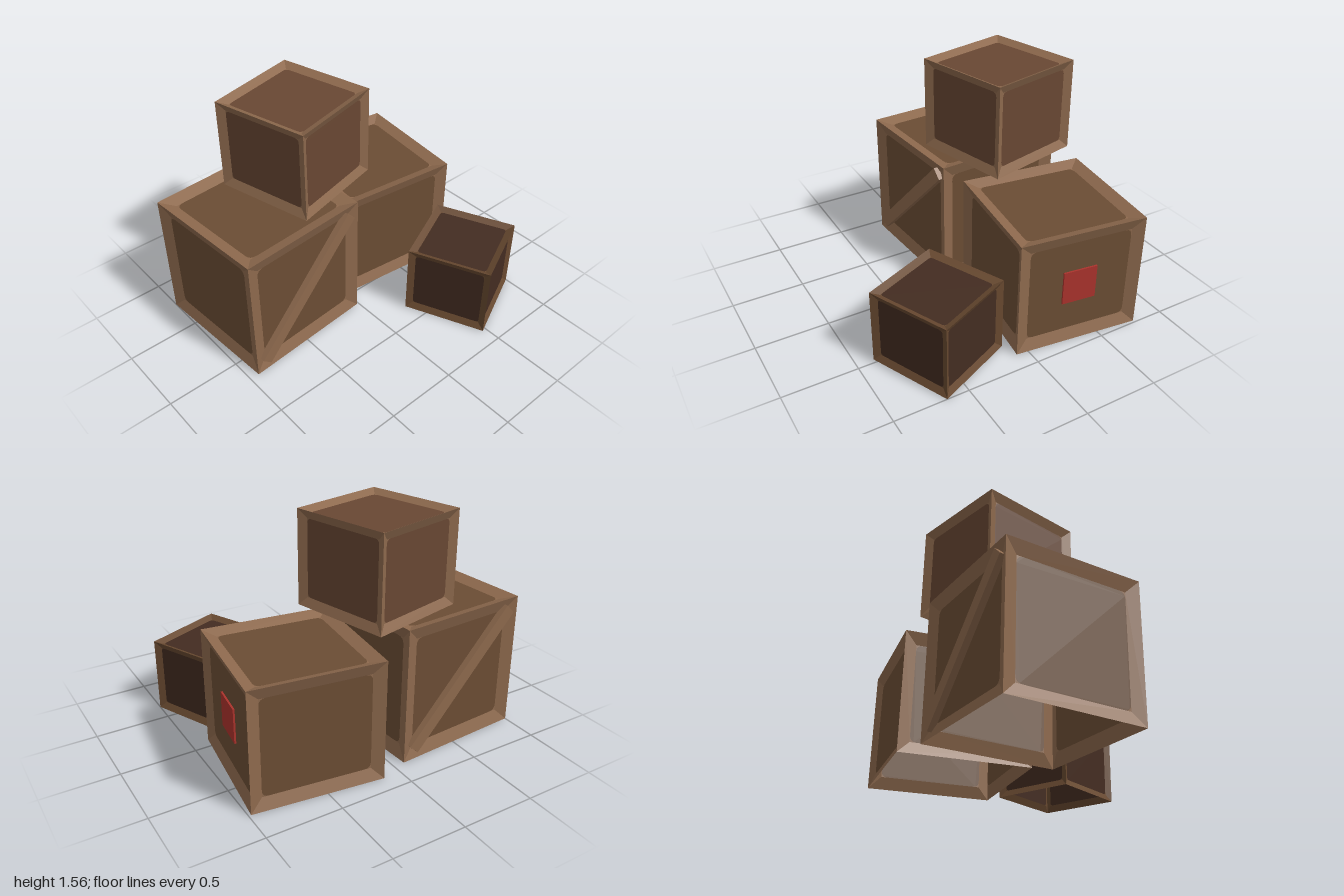
import * as THREE from 'three';
import { mergeGeometries } from 'three/addons/utils/BufferGeometryUtils.js';

// Crates are open underneath, so the wood shows on both sides
function material(name, color) {
  const m = new THREE.MeshStandardMaterial({ color, side: THREE.DoubleSide });
  m.name = name;
  return m;
}

// Rectangle outline with rounded corners, centred on the origin
function roundedRect(Type, w, h, r) {
  const s = new Type(), x = w / 2, y = h / 2;
  s.moveTo(-x + r, -y);
  s.lineTo(x - r, -y).quadraticCurveTo(x, -y, x, -y + r);
  s.lineTo(x, y - r).quadraticCurveTo(x, y, x - r, y);
  s.lineTo(-x + r, y).quadraticCurveTo(-x, y, -x, y - r);
  s.lineTo(-x, -y + r).quadraticCurveTo(-x, -y, -x + r, -y);
  return s;
}

// Four mitred slopes running from the outer edge in to the recessed panel
function bevelRing(w, h, margin, depth) {
  const signs = [[-1, -1], [1, -1], [1, 1], [-1, 1]];
  const outer = signs.map(([a, b]) => [a * w / 2, b * h / 2, 0]);
  const inner = signs.map(([a, b]) => [a * (w / 2 - margin), b * (h / 2 - margin), -depth]);
  const pos = [];
  for (let i = 0; i < 4; i++) {
    const j = (i + 1) % 4;
    pos.push(...outer[i], ...outer[j], ...inner[j], ...outer[i], ...inner[j], ...inner[i]);
  }
  const g = new THREE.BufferGeometry();
  g.setAttribute('position', new THREE.Float32BufferAttribute(pos, 3));
  g.computeVertexNormals();
  return g;
}

// Flat shape laid at the recess depth
function flat(shape, depth) {
  const g = new THREE.ShapeGeometry(shape, 4).toNonIndexed();
  g.deleteAttribute('uv');
  return g.translate(0, 0, -depth);
}

// Crate with four sides and a lid, each framed and recessed, and no bottom
function crate(name, { w, h, margin, depth, frame, panel }) {
  const group = new THREE.Group();
  group.name = name;
  const frames = [], panels = [];
  const faces = [0, 1, 2, 3].map((i) => [0, i * Math.PI / 2, h]);
  faces.push([-Math.PI / 2, 0, w]);
  for (const [rx, ry, fh] of faces) {
    const pw = w - 2 * margin, ph = fh - 2 * margin, r = margin * 0.55;
    const corners = roundedRect(THREE.Shape, pw, ph, 0);
    corners.holes.push(roundedRect(THREE.Path, pw, ph, r));
    const place = (g) => g.translate(0, 0, (rx ? h : w) / 2).rotateX(rx).rotateY(ry).translate(0, h / 2, 0);
    frames.push(place(bevelRing(w, fh, margin, depth)), place(flat(corners, depth)));
    panels.push(place(flat(roundedRect(THREE.Shape, pw, ph, r), depth)));
  }
  const frameMesh = new THREE.Mesh(mergeGeometries(frames), frame);
  frameMesh.name = 'frame';
  const panelMesh = new THREE.Mesh(mergeGeometries(panels), panel);
  panelMesh.name = 'panels';
  group.add(frameMesh, panelMesh);
  return group;
}

export function createModel() {
  const model = new THREE.Group();
  model.name = 'crateStack';

  const frame = material('light wood', 0x8d694d);
  const darkFrame = material('aged wood', 0x684930);
  const panel = material('brown wood', 0x6b4d34);
  const redPanel = material('reddish wood', 0x684733);
  const darkPanel = material('dark wood', 0x432c21);
  const red = material('red paint', 0xab332c);

  const add = (name, x, y, z, turn, options) => {
    const c = crate(name, options);
    c.position.set(x, y, z);
    c.rotation.y = turn;
    model.add(c);
    return c;
  };

  const large = add('largeCrate', -0.507, 0, -0.321, 0.07,
    { w: 0.925, h: 0.925, margin: 0.087, depth: 0.03, frame, panel });
  const medium = add('mediumCrate', 0.501, 0, -0.403, -0.122,
    { w: 0.866, h: 0.81, margin: 0.08, depth: 0.03, frame, panel });
  add('topCrate', -0.135, 0.925, -0.379, 0.242,
    { w: 0.695, h: 0.632, margin: 0.058, depth: 0.028, frame, panel: redPanel });
  add('smallCrate', 0.617, 0, 0.502, 0.418,
    { w: 0.58, h: 0.52, margin: 0.046, depth: 0.023, frame: darkFrame, panel: darkPanel });

  // Diagonal planks across the front and back of the large crate
  for (const side of [1, -1]) {
    const brace = new THREE.Mesh(new THREE.BoxGeometry(1.105, 0.088, 0.044), frame);
    brace.name = side > 0 ? 'frontBrace' : 'backBrace';
    brace.position.set(0, 0.465, side * 0.453);
    brace.rotation.set(0, side > 0 ? 0 : Math.PI, Math.PI / 4);
    large.add(brace);
  }

  // Red marker plate on the side of the medium crate
  const plate = new THREE.Mesh(new THREE.BoxGeometry(0.012, 0.235, 0.235), red);
  plate.name = 'redPlate';
  plate.position.set(0.41, 0.407, 0);
  medium.add(plate);

  return model;
}
